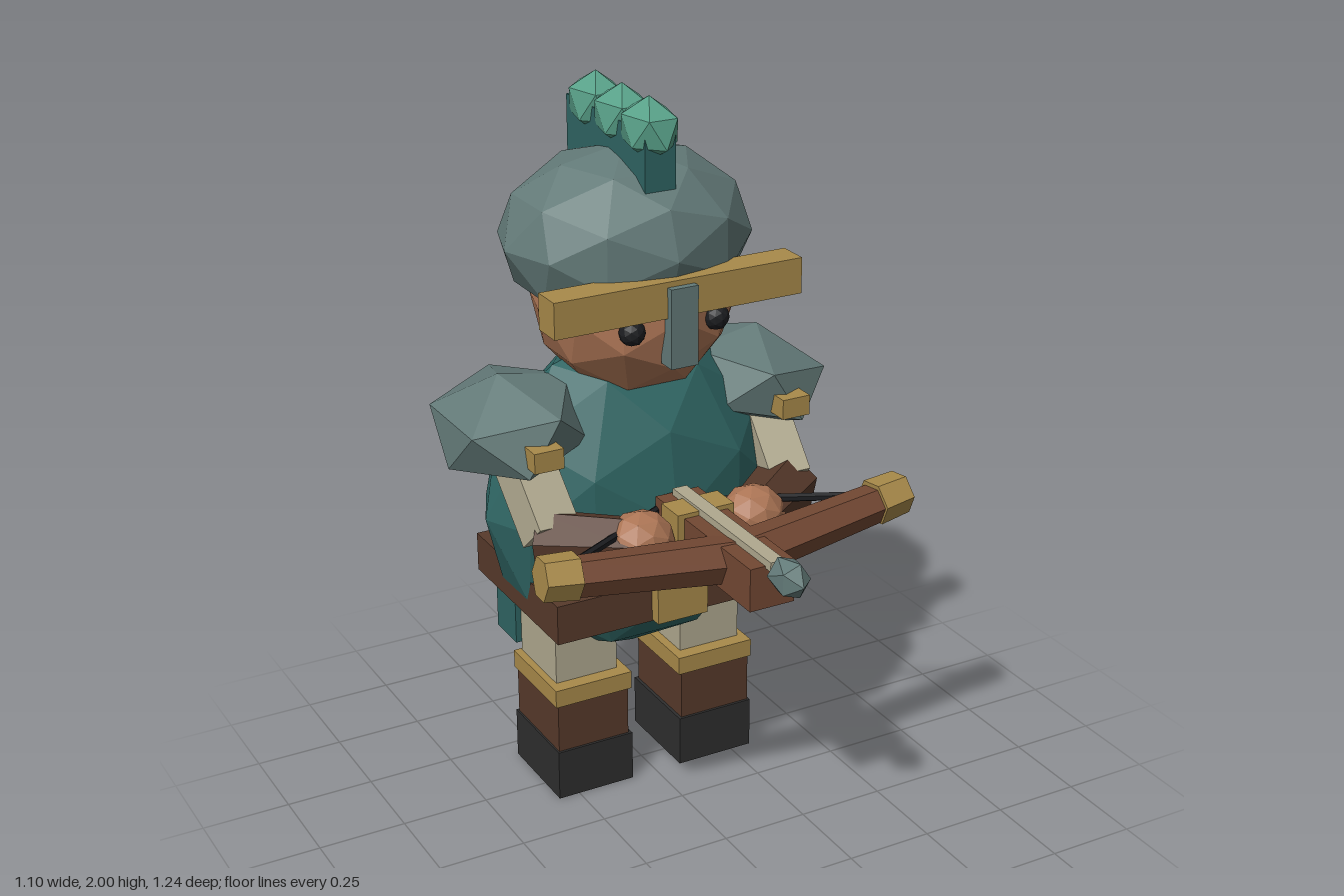
import * as THREE from 'three';

const mat = (name, color) => {
  const m = new THREE.MeshStandardMaterial({ color, flatShading: true });
  m.name = name;
  return m;
};

export function createModel() {
  const steel = mat('steel', 0x637a78);
  const teal = mat('teal cloth', 0x2f6563);
  const green = mat('plume green', 0x58a088);
  const gold = mat('brass', 0xa88a4a);
  const leather = mat('leather', 0x573a2b);
  const wood = mat('wood', 0x734833);
  const skin = mat('skin', 0xac7555);
  const linen = mat('linen', 0xb0a98f);
  const sole = mat('sole', 0x2e2e2e);
  const black = mat('black', 0x1c1d20);

  const root = new THREE.Group();
  root.name = 'crossbowSoldier';

  const add = (name, geo, material, x = 0, y = 0, z = 0) => {
    const m = new THREE.Mesh(geo, material);
    m.name = name;
    m.position.set(x, y, z);
    root.add(m);
    return m;
  };
  const box = (name, material, w, h, d, x, y, z) =>
    add(name, new THREE.BoxGeometry(w, h, d), material, x, y, z);
  // faceted ellipsoid
  const ball = (name, material, rx, ry, rz, x, y, z, detail = 1) =>
    add(name, new THREE.IcosahedronGeometry(1, detail).scale(rx, ry, rz), material, x, y, z);
  // coarse ellipsoid with one corner pointing straight up
  const gem = (name, material, rx, ry, rz, x, y, z, turn = 0) => {
    const g = new THREE.IcosahedronGeometry(1, 0);
    g.rotateZ(-Math.atan(2 / (1 + Math.sqrt(5)))).rotateY(turn).scale(rx, ry, rz);
    return add(name, g, material, x, y, z);
  };
  // bar between two points
  const bar = (name, material, a, b, r0, r1, sides) => {
    const p = new THREE.Vector3(...a), q = new THREE.Vector3(...b);
    const d = q.clone().sub(p);
    const g = new THREE.CylinderGeometry(r1, r0, d.length(), sides);
    if (sides === 4) g.rotateY(Math.PI / 4);
    const m = add(name, g, material, ...p.clone().add(q).multiplyScalar(0.5).toArray());
    m.quaternion.setFromUnitVectors(new THREE.Vector3(0, 1, 0), d.normalize());
    return m;
  };

  // Body, cape and belt
  ball('torso', teal, 0.445, 0.485, 0.275, 0, 0.85, -0.3);
  box('cape', teal, 0.62, 0.725, 0.125, 0, 0.738, -0.487);
  box('belt', leather, 0.73, 0.115, 0.52, 0, 0.628, -0.29);
  box('beltBuckle', gold, 0.155, 0.125, 0.05, 0, 0.638, -0.02);

  // Head and helmet
  ball('head', skin, 0.283, 0.275, 0.27, 0, 1.44, -0.275);
  ball('helmet', steel, 0.355, 0.245, 0.302, 0, 1.597, -0.318);
  box('browBand', gold, 0.73, 0.1, 0.09, 0, 1.505, -0.05);
  box('noseGuard', steel, 0.08, 0.22, 0.055, 0, 1.43, -0.012);
  box('plumeBase', teal, 0.09, 0.19, 0.45, 0, 1.825, -0.34);
  for (const z of [-0.175, -0.325, -0.475])
    gem('plumeTuft', green, 0.078, 0.085, 0.108, 0, 1.915, z, Math.PI / 2);

  // Mirrored parts
  for (const s of [1, -1]) {
    ball('eye', black, 0.036, 0.036, 0.036, s * 0.125, 1.42, -0.042);

    // Legs
    box('bootSole', sole, 0.235, 0.15, 0.28, s * 0.195, 0.075, -0.295);
    box('boot', leather, 0.22, 0.16, 0.265, s * 0.197, 0.22, -0.295);
    box('bootCuff', gold, 0.238, 0.053, 0.275, s * 0.196, 0.322, -0.295);
    box('trouserLeg', linen, 0.19, 0.25, 0.225, s * 0.198, 0.46, -0.312);

    // Shoulder armour
    const pauldron = gem('pauldron', steel, 0.22, 0.145, 0.265, s * 0.37, 1.13, -0.292,
      s > 0 ? Math.PI : 0);
    // turn the lower corner outwards, then tip the plate down
    pauldron.rotation.z = -s * 0.2;
    for (const z of [-0.065, -0.49])
      box('pauldronStud', gold, 0.085, 0.057, 0.065, s * 0.375, 1.113, z);

    // Arms
    bar('sleeve', linen, [s * 0.37, 1.1, -0.27], [s * 0.36, 0.885, -0.065], 0.085, 0.085, 4);
    bar('forearm', leather, [s * 0.38, 0.86, -0.085], [s * 0.17, 0.875, 0.09], 0.095, 0.08, 6);
    ball('hand', skin, 0.095, 0.09, 0.085, s * 0.17, 0.88, 0.08);

    // Bow limb, tip and string
    bar('bowLimb', wood, [0, 0.888, 0.295], [s * 0.47, 0.925, 0.25], 0.066, 0.054, 6);
    bar('bowTip', gold, [s * 0.445, 0.927, 0.252], [s * 0.54, 0.935, 0.243], 0.064, 0.06, 6);
    bar('bowString', black, [s * 0.46, 0.93, 0.215], [s * 0.04, 0.905, -0.04], 0.012, 0.012, 6);
  }

  // Crossbow stock and bolt
  box('stock', wood, 0.13, 0.12, 0.5, 0, 0.885, 0.22);
  box('stockBand', gold, 0.17, 0.145, 0.09, 0, 0.885, 0.085);
  box('boltShaft', linen, 0.042, 0.026, 0.51, 0, 0.952, 0.24);
  const tip = gem('boltHead', steel, 0.05, 0.072, 0.055, 0, 0.943, 0.548);
  tip.rotation.x = Math.PI / 2;

  return root;
}
